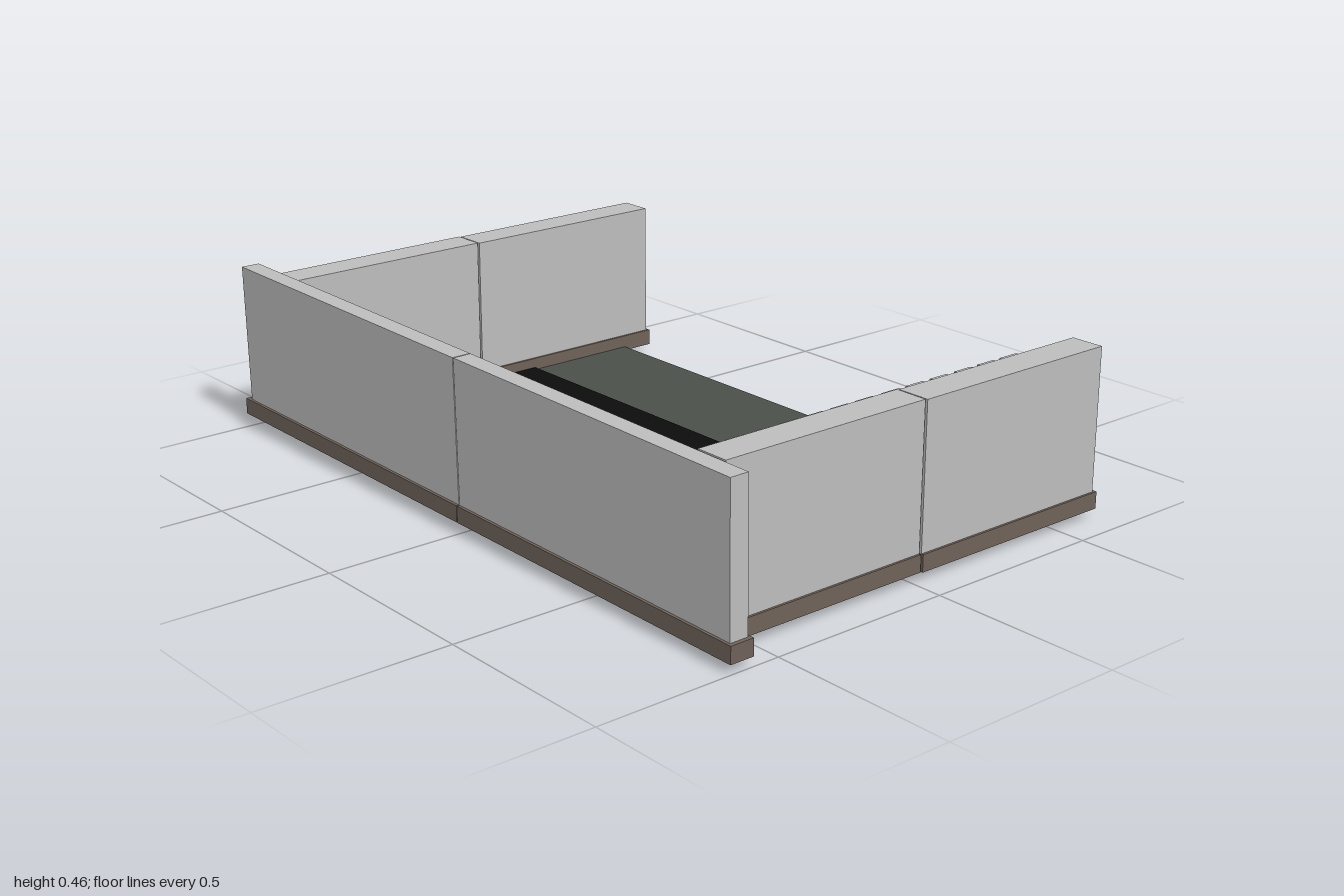
import * as THREE from 'three';

const mat = (name, color) => {
  const m = new THREE.MeshStandardMaterial({ color });
  m.name = name;
  return m;
};

export function createModel() {
  const plaster = mat('plasterGrey', 0xbebdbd);
  const brown = mat('skirtingBrown', 0x6f6259);
  const floorMat = mat('floorGreen', 0x4a4f4a);
  const black = mat('matBlack', 0x0c0c0c);
  const yellow = mat('shelfYellow', 0xb0ac36);
  const orange = mat('shelfOrange', 0xc2602e);
  const blue = mat('shelfBlue', 0x3f68ad);

  const model = new THREE.Group();
  model.name = 'storageRoom';

  // Box given by its lower and upper corners
  function box(parent, name, material, [x0, y0, z0], [x1, y1, z1]) {
    const mesh = new THREE.Mesh(new THREE.BoxGeometry(x1 - x0, y1 - y0, z1 - z0), material);
    mesh.position.set((x0 + x1) / 2, (y0 + y1) / 2, (z0 + z1) / 2);
    mesh.name = name;
    parent.add(mesh);
    return mesh;
  }

  // Floor slab and the thick mat that passes through it
  box(model, 'floor', floorMat, [-0.81, 0.028, -0.54], [0.83, 0.036, 0.575]);
  box(model, 'floorMat', black, [-0.795, 0, -0.2], [0.088, 0.045, 0.56]);

  // Front wall: two panels on skirting, very slightly out of level
  const front = new THREE.Group();
  front.name = 'frontWall';
  front.rotation.z = -0.0085;
  for (const side of [-1, 1]) {
    const inner = side * 0.0015;
    const span = (end) => [Math.min(inner, end), Math.max(inner, end)];
    const [b0, b1] = span(side * 0.998);
    box(front, 'frontSkirting', brown, [b0, 0.031, 0.57], [b1, 0.075, 0.636]);
    const [w0, w1] = span(side < 0 ? -0.98 : 0.987);
    const panel = box(front, 'frontPanel', plaster, [w0, 0.07, 0.577], [w1, 0.453, 0.628]);
    // lean the panel outwards a little towards its top
    const pos = panel.geometry.attributes.position;
    for (let i = 0; i < pos.count; i++) {
      pos.setZ(i, pos.getZ(i) + (pos.getY(i) > 0 ? 0.008 : 0));
    }
    panel.geometry.computeVertexNormals();
    box(front, 'frontFooting', plaster, [b0 + 0.008, 0.03, 0.574], [b1 - 0.008, 0.034, 0.632]);
  }
  model.add(front);

  // Side walls: two panels each, with a small step at the joint
  const joint = -0.02;
  for (const [label, cx] of [['left', 0.872], ['right', -0.853]]) {
    const wall = new THREE.Group();
    wall.name = label + 'Wall';
    for (const [z0, z1, end, step] of [[-0.635, joint - 0.0015, -0.626, 0.002], [joint + 0.0015, 0.572, 0.581, -0.002]]) {
      const c = cx + step;
      box(wall, 'sideSkirting', brown, [c - 0.051, 0.025, z0], [c + 0.051, 0.07, z1]);
      box(wall, 'sideFooting', plaster, [c - 0.046, 0.024, z0 + 0.006], [c + 0.046, 0.028, z1 - 0.006]);
      const p0 = z0 < joint - 0.1 ? end : z0;
      const p1 = z0 < joint - 0.1 ? z1 : end;
      box(wall, 'sidePanel', plaster, [c - 0.045, 0.068, p0], [c + 0.045, 0.447, p1]);
    }
    model.add(wall);
  }

  // Three rows of coloured shelves carrying bins with a sloping top
  const profile = new THREE.Shape([
    new THREE.Vector2(0, 0), new THREE.Vector2(0.05, 0),
    new THREE.Vector2(0.05, 0.068), new THREE.Vector2(0, 0.06),
  ]);
  const binGeometry = new THREE.ExtrudeGeometry(profile, { depth: 0.056, bevelEnabled: false });
  const bays = [[-0.5, yellow], [-0.257, orange], [-0.013, blue], [0.225, blue]];
  for (const y of [0.1, 0.225, 0.35]) {
    const row = new THREE.Group();
    row.name = 'shelfRow';
    for (const [z, material] of bays) {
      box(row, 'shelf', material, [0.758, y, z], [0.83, y + 0.01, z + 0.238]);
      for (let i = 0; i < 3; i++) {
        const bin = new THREE.Mesh(binGeometry, plaster);
        bin.name = 'bin';
        bin.position.set(0.768, y + 0.01, z + 0.014 + i * 0.08);
        row.add(bin);
      }
    }
    model.add(row);
  }

  return model;
}
